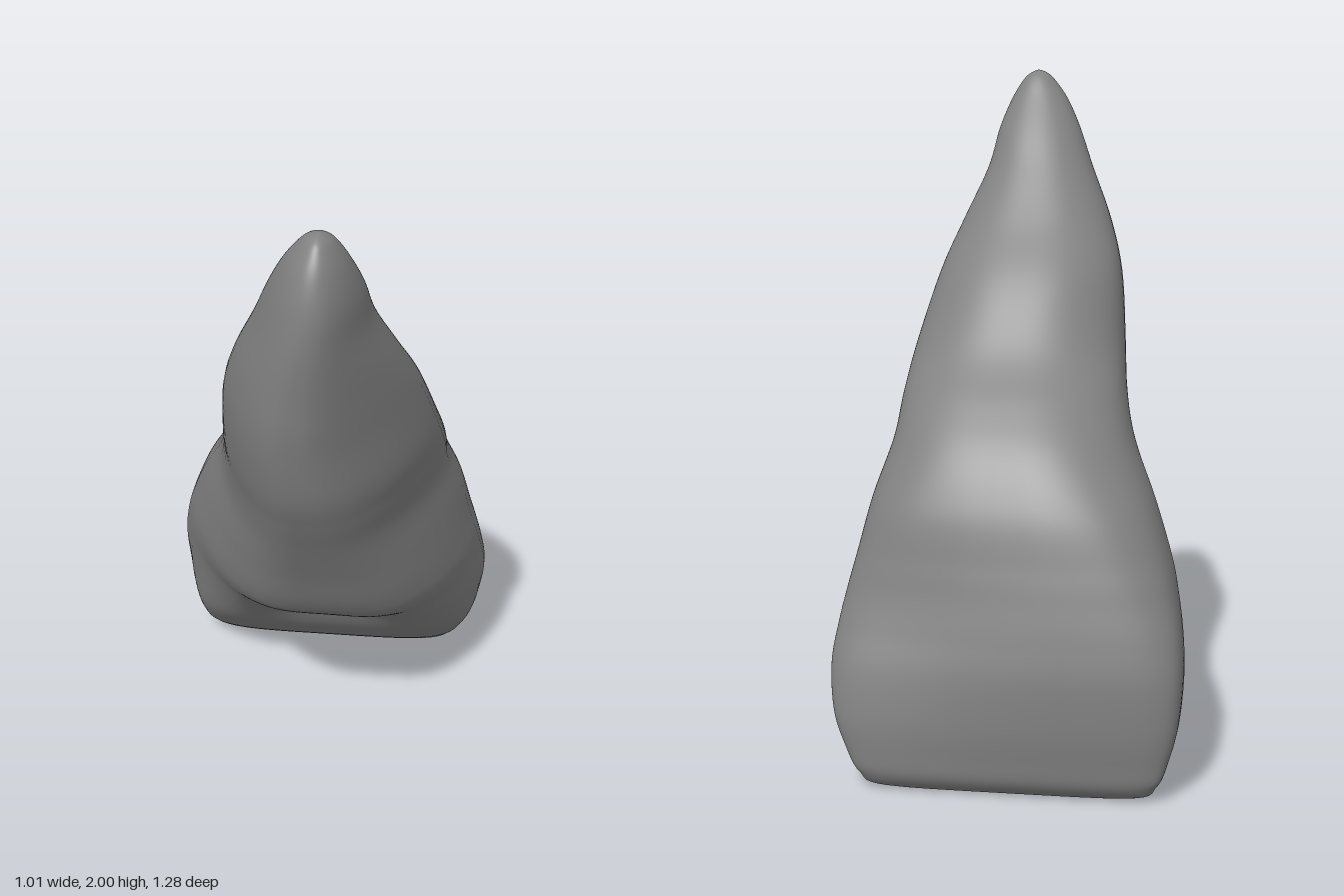
import * as THREE from 'three';

// Level sections, bottom to top: y, min x, max x, front z, back z
const sections = [
  [0.003, -0.02, -0.02, -0.51, -0.51],
  [0.008, -0.37, 0.34, -0.45, -0.565],
  [0.05, -0.44, 0.41, -0.39, -0.605],
  [0.12, -0.47, 0.45, -0.31, -0.62],
  [0.22, -0.495, 0.488, -0.20, -0.633],
  [0.35, -0.505, 0.502, -0.07, -0.635],
  [0.46, -0.497, 0.49, 0.06, -0.62],
  [0.56, -0.478, 0.473, 0.20, -0.60],
  [0.65, -0.455, 0.453, 0.27, -0.58],
  [0.80, -0.40, 0.42, 0.345, -0.54],
  [0.95, -0.33, 0.378, 0.425, -0.455],
  [1.07, -0.295, 0.37, 0.49, -0.34],
  [1.20, -0.275, 0.355, 0.55, -0.19],
  [1.40, -0.25, 0.305, 0.60, -0.03],
  [1.55, -0.205, 0.25, 0.622, 0.12],
  [1.70, -0.14, 0.19, 0.64, 0.25],
  [1.82, -0.092, 0.163, 0.64, 0.345],
  [1.91, -0.047, 0.13, 0.62, 0.42],
  [1.97, -0.002, 0.095, 0.587, 0.47],
  [1.992, 0.025, 0.07, 0.56, 0.50],
  [2.0, 0.05, 0.05, 0.53, 0.53],
];

const smooth = (pts) => new THREE.CatmullRomCurve3(pts, false, 'catmullrom', 0.5);
const widths = smooth(sections.map(([y, l, r]) => new THREE.Vector3(l, y, r)));
const depths = smooth(sections.map(([, , , f, b]) => new THREE.Vector3(f, 0, b)));
const power = (v, e) => Math.sign(v) * Math.pow(Math.abs(v), e);
const { smoothstep } = THREE.MathUtils;

function toothGeometry(rings = 140, sides = 120) {
  const position = [];
  const index = [];
  for (let i = 0; i <= rings; i++) {
    const { x: left, y, z: right } = widths.getPoint(i / rings);
    const { x: front, z: back } = depths.getPoint(i / rings);
    const crown = 1 - smoothstep(y, 0.4, 1.35);
    const root = smoothstep(y, 0.5, 1.3) * (1 - smoothstep(y, 1.3, 1.8));
    const tip = smoothstep(y, 1.4, 1.95);
    const edge = smoothstep(y, 0.0, 0.6);
    // boxier crown, rounder root and tip
    const e = 2 / (2.6 + 1.5 * crown - 0.5 * tip);
    const frontTaper = 0.45 * edge * (1 - 0.5 * tip);
    const backTaper = (1 - crown) * 0.2 * (1 - tip);
    const frontShift = 0.04 * crown * edge - 0.05 * root;
    const fossa = 0.085 * Math.exp(-(((y - 0.37) / 0.14) ** 2));
    const cx = (left + right) / 2;
    const hx = (right - left) / 2;
    const zc = back + (front - back) * (0.4 - 0.1 * crown);
    for (let j = 0; j < sides; j++) {
      const a = (j / sides) * Math.PI * 2;
      const c = power(Math.cos(a), e);
      const s = power(Math.sin(a), e);
      const f = Math.max(0, s);
      const b = Math.max(0, -s);
      const x = cx + hx * c * (1 - frontTaper * f ** 1.3 - backTaper * b * b) + frontShift * f;
      let z = zc + s * (s > 0 ? front - zc : zc - back);
      // hollow between the side ridges of the crown
      z -= fossa * f * f * Math.max(0, 1 - (x / 0.28) ** 2) ** 1.5;
      // slightly turned outer face
      z += 0.08 * crown * edge * smoothstep(x, -0.15, 0.5) * (1 - s) / 2;
      position.push(x, y, z);
      if (i < rings) {
        const p = i * sides + j;
        const q = i * sides + ((j + 1) % sides);
        index.push(p, p + sides, q, q, p + sides, q + sides);
      }
    }
  }
  const geometry = new THREE.BufferGeometry();
  geometry.setAttribute('position', new THREE.Float32BufferAttribute(position, 3));
  geometry.setIndex(index);
  geometry.computeVertexNormals();
  return geometry;
}

export function createModel() {
  const group = new THREE.Group();
  group.name = 'incisor';
  const tooth = new THREE.Mesh(toothGeometry(), new THREE.MeshStandardMaterial({ color: 0x828282 }));
  tooth.name = 'tooth';
  group.add(tooth);
  return group;
}
